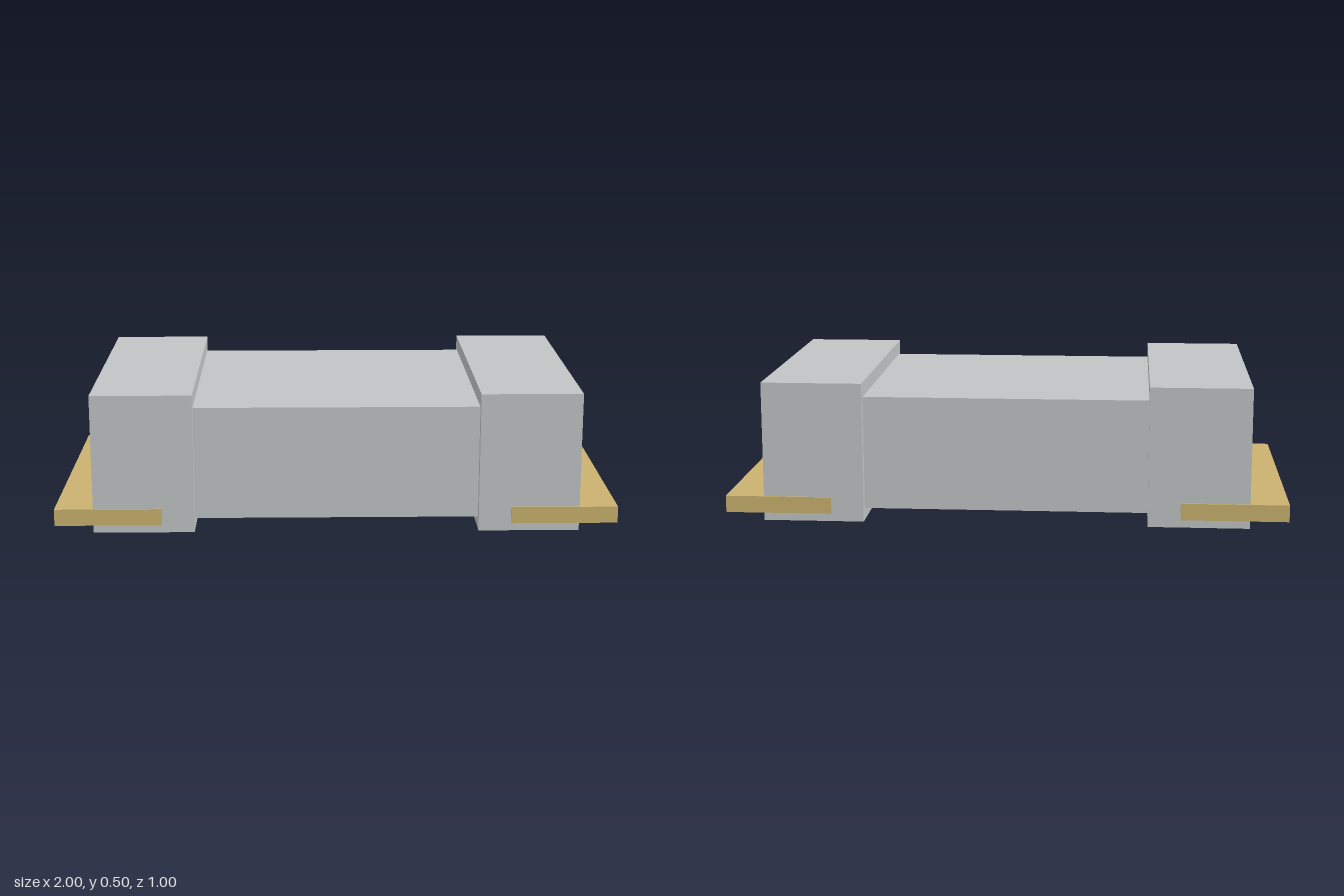
import * as THREE from 'three';

export function createModel() {
  const group = new THREE.Group();
  const grey = new THREE.MeshStandardMaterial({ name: 'lightGrey', color: 0xc0c4c5 });
  const gold = new THREE.MeshStandardMaterial({ name: 'paleGold', color: 0xc9b16e });

  // Box given by its extents in x and y and its full depth in z
  const addBox = (name, material, [x0, x1], [y0, y1], depth) => {
    const mesh = new THREE.Mesh(new THREE.BoxGeometry(x1 - x0, y1 - y0, depth), material);
    mesh.position.set((x0 + x1) / 2, (y0 + y1) / 2, 0);
    mesh.name = name;
    group.add(mesh);
  };

  // Central body, slightly slimmer than the end caps
  addBox('body', grey, [-0.507, 0.507], [0.043, 0.448], 0.926);

  // End caps and the flat contact pads that run through them
  for (const [side, s] of [['left', 1], ['right', -1]]) {
    const span = (a, b) => (s > 0 ? [a, b] : [-b, -a]);
    addBox(side + 'EndCap', grey, span(0.505, 0.863), [0, 0.5], 0.984);
    addBox(side + 'ContactPad', gold, span(0.62, 1), [0.028, 0.088], 0.995);
  }
  return group;
}
